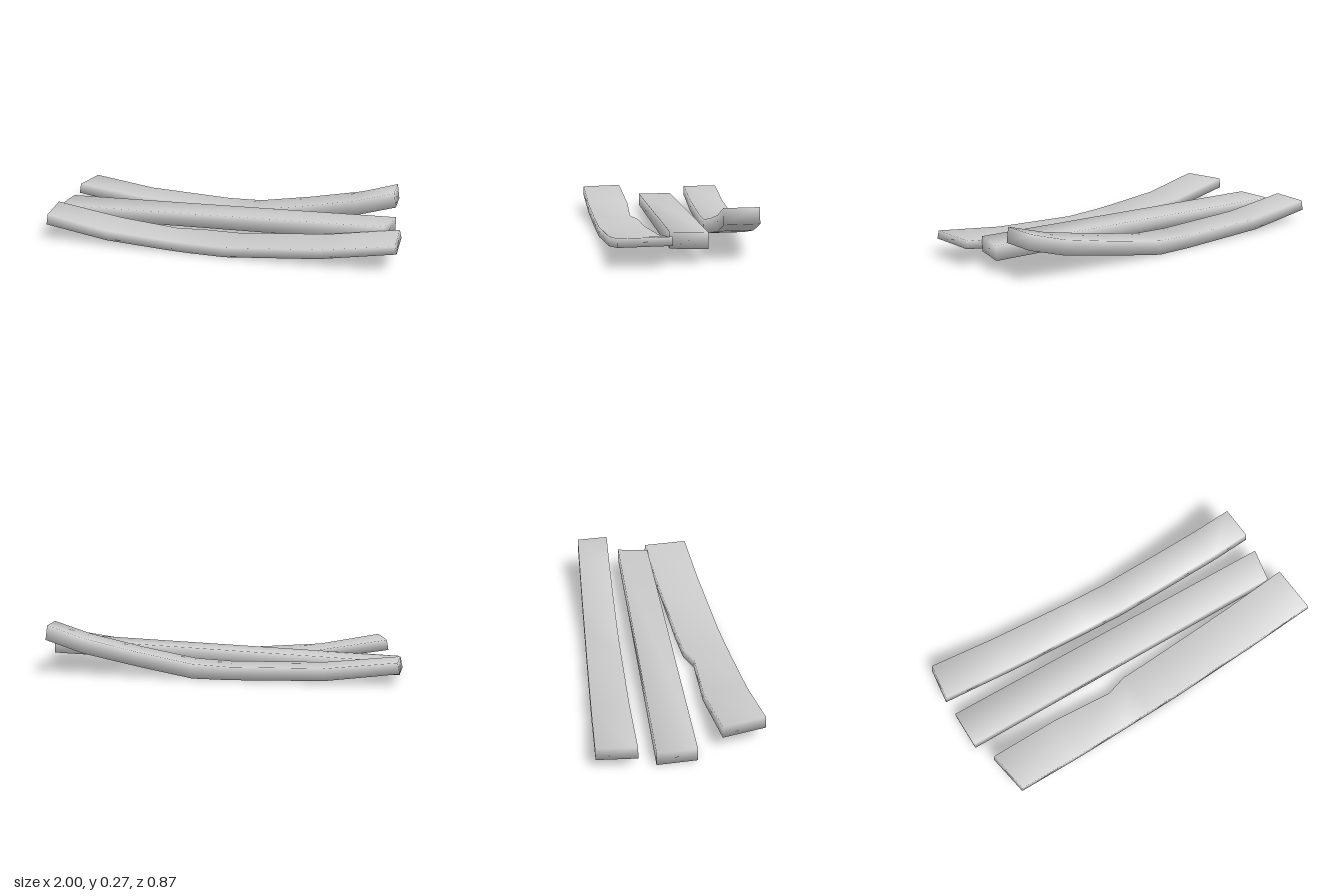
import * as THREE from 'three';

const material = new THREE.MeshStandardMaterial({ color: 0xcccccc });

// Lofts a bent board through four-cornered stations.
// Each station: [xBack, xFront, zBack, zFront, yBottom, yTop]
function board(name, stations, endLean = 0) {
  const positions = [], index = [];
  const last = stations.length - 1;
  stations.forEach(([xb, xf, zb, zf, y0, y1], i) => {
    const lean = i === last ? endLean : i === 0 ? -endLean : 0;
    positions.push(
      xb + lean, y0, zb,
      xf + lean, y0, zf,
      xf, y1, zf,
      xb, y1, zb
    );
  });
  const quad = (a, b, c, d) => index.push(a, b, c, a, c, d);
  for (let i = 0; i < last; i++) {
    for (let k = 0; k < 4; k++) {
      const a = i * 4 + k, b = i * 4 + (k + 1) % 4;
      quad(a, a + 4, b + 4, b);
    }
  }
  // End caps
  quad(0, 1, 2, 3);
  const e = last * 4;
  quad(e + 3, e + 2, e + 1, e);

  const geometry = new THREE.BufferGeometry();
  geometry.setAttribute('position', new THREE.Float32BufferAttribute(positions, 3));
  geometry.setIndex(index);
  geometry.computeVertexNormals();
  const mesh = new THREE.Mesh(geometry, material);
  mesh.name = name;
  return mesh;
}

export function createModel() {
  const group = new THREE.Group();
  group.name = 'bentPlanks';

  // Wide sagging plank with a chipped back edge
  group.add(board('frontPlank', [
    [-0.94, -0.9, 0.2, 0.43, 0.09, 0.148],
    [-0.56, -0.56, 0.19, 0.427, 0.032, 0.085],
    [-0.22, -0.22, 0.215, 0.424, 0.01, 0.063],
    [-0.1, -0.1, 0.18, 0.423, 0.005, 0.058],
    [0.1, 0.1, 0.175, 0.422, 0.002, 0.055],
    [0.6, 0.6, 0.165, 0.418, 0.043, 0.093],
    [0.975, 0.985, 0.155, 0.415, 0.108, 0.15],
  ], 0.01));

  // Nearly straight plank, tilted up toward one end
  group.add(board('middlePlank', [
    [-1, -1, -0.14, 0.065, 0.008, 0.08],
    [0.93, 0.89, -0.025, 0.155, 0.077, 0.158],
  ], 0));

  // Strongly curved plank
  group.add(board('backPlank', [
    [-0.97, -0.995, -0.435, -0.23, 0.068, 0.126],
    [-0.6, -0.6, -0.405, -0.206, 0.018, 0.084],
    [-0.1, -0.1, -0.363, -0.172, 0.004, 0.074],
    [0.1, 0.1, -0.346, -0.158, 0.005, 0.083],
    [0.4, 0.4, -0.322, -0.137, 0.06, 0.138],
    [0.7, 0.7, -0.297, -0.115, 0.12, 0.203],
    [0.9, 0.905, -0.28, -0.1, 0.188, 0.268],
  ], 0.012));

  return group;
}
